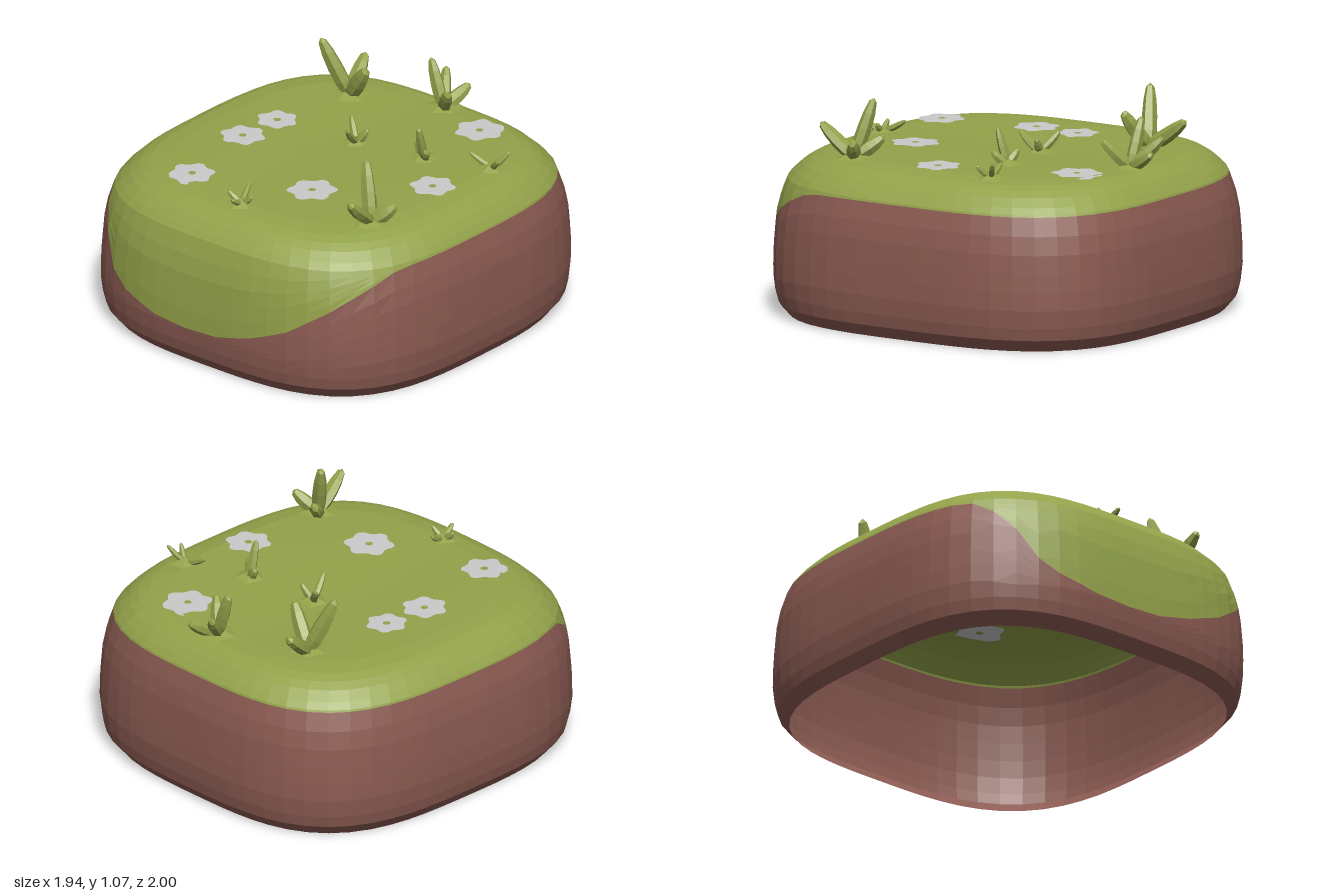
import * as THREE from 'three';

const COLS = 64, POWER = 3.2;
const mat = (name, color, side = THREE.FrontSide) => {
  const m = new THREE.MeshStandardMaterial({ color, side });
  m.name = name;
  return m;
};

// piecewise-linear lookup in a list of [input, output] pairs
function lookup(table, v) {
  if (v <= table[0][0]) return table[0][1];
  for (let i = 1; i < table.length; i++) {
    const [a, p] = table[i - 1], [b, q] = table[i];
    if (v <= b) return p + (q - p) * (v - a) / (b - a);
  }
  return table[table.length - 1][1];
}

// outline scale of the block by height
const SIDE = [[0, 0.93], [0.07, 0.985], [0.2, 1], [0.33, 0.998], [0.5, 0.985], [0.6, 0.962],
  [0.66, 0.94], [0.71, 0.9], [0.75, 0.85], [0.772, 0.79]];
// height where soil meets grass on the front half, by x
const EDGE = [[-0.97, 0.65], [-0.86, 0.65], [-0.75, 0.55], [-0.65, 0.42], [-0.6, 0.33], [-0.5, 0.27],
  [-0.3, 0.215], [-0.1, 0.2], [0.1, 0.21], [0.3, 0.26], [0.5, 0.34], [0.7, 0.47], [0.85, 0.585],
  [0.91, 0.64], [0.97, 0.65]];

// rounded-square outline
function outline(i) {
  const a = (i % COLS) / COLS * Math.PI * 2, c = Math.cos(a), s = Math.sin(a);
  const r = 1 / Math.pow(Math.abs(c) ** POWER + Math.abs(s) ** POWER, 1 / POWER);
  return [0.97 * r * c, r * s];
}
const edgeHeight = (x, z) => (z > 0 ? lookup(EDGE, x) : 0.65);

// gently uneven lawn
function lawnY(x, z) {
  const fade = Math.max(0, 1 - (x * x + z * z) * 0.7);
  return 0.782 + fade * (0.006 - 0.012 * Math.exp(-((x + 0.1) ** 2) * 20) + 0.005 * Math.sin(3 * z + 2 * x));
}

// surface through rows of columns, faceted
function loft(rows, cols, point) {
  const pos = [], index = [];
  for (let j = 0; j < rows; j++) for (let i = 0; i <= cols; i++) pos.push(...point(i, j));
  for (let j = 0; j < rows - 1; j++) for (let i = 0; i < cols; i++) {
    const a = j * (cols + 1) + i, b = a + cols + 1;
    index.push(a, b, a + 1, a + 1, b, b + 1);
  }
  const g = new THREE.BufferGeometry();
  g.setAttribute('position', new THREE.Float32BufferAttribute(pos, 3));
  g.setIndex(index);
  const flat = g.toNonIndexed();
  flat.computeVertexNormals();
  return flat;
}

function sidePoint(i, y) {
  const [x, z] = outline(i), s = lookup(SIDE, y);
  return [x * s, y, z * s];
}

function soilGeometry() {
  return loft(9, COLS, (i, j) => {
    const h = edgeHeight(...outline(i));
    return sidePoint(i, j < 3 ? [0, 0.06, 0.12][j] : 0.12 + (h - 0.12) * (j - 2) / 6);
  });
}

function grassGeometry() {
  const rim = [0.69, 0.73, 0.755, 0.772], caps = [0.7, 0.6, 0.5, 0.4, 0.3, 0.2, 0.1, 0];
  return loft(6 + rim.length + caps.length, COLS, (i, j) => {
    const [x, z] = outline(i), h = edgeHeight(x, z);
    if (j < 6) return sidePoint(i, h + (0.66 - h) * j / 5);
    if (j < 6 + rim.length) return sidePoint(i, rim[j - 6]);
    const s = caps[j - 6 - rim.length];
    return [x * s, lawnY(x * s, z * s), z * s];
  });
}

// thin petal ring draped over the lawn; lift < 0 puts it beneath the shell
function petals(cx, cz, r, inner, lift, turn) {
  return loft(4, 48, (i, j) => {
    const a = i / 48 * Math.PI * 2;
    const out = r * (0.92 + 0.1 * Math.cos(6 * a + turn));
    const d = inner + (out - inner) * j / 3;
    const x = cx + d * Math.cos(a), z = cz + d * Math.sin(a);
    return [x, lawnY(x, z) + lift, z];
  });
}

// blunt tapering leaf from base to tip, bowed outward
function leafGeometry(base, tip, r) {
  const from = new THREE.Vector3(...base), to = new THREE.Vector3(...tip);
  const mid = from.clone().lerp(to, 0.5);
  mid.y -= 0.012;
  const curve = new THREE.QuadraticBezierCurve3(from, mid, to);
  const dir = to.clone().sub(from).normalize();
  const u = new THREE.Vector3(0, 0, 1).cross(dir).normalize(), v = dir.clone().cross(u);
  const widths = [0.75, 1, 1, 0.85, 0.55, 0];
  const stops = [0, 0.25, 0.5, 0.75, 0.94, 1];
  return loft(6, 6, (i, j) => {
    const a = i / 6 * Math.PI * 2, w = r * widths[j];
    return curve.getPoint(stops[j])
      .addScaledVector(u, w * Math.cos(a)).addScaledVector(v, w * 0.8 * Math.sin(a)).toArray();
  });
}

// [base x, base z, leaf radius, leaf tips]
const TUFTS = [
  [-0.38, -0.55, 0.043, [[-0.5, 1.065, -0.48], [-0.23, 0.97, -0.5], [-0.43, 0.92, -0.73]]],
  [0.05, -0.73, 0.036, [[-0.035, 1.01, -0.74], [-0.04, 0.92, -0.86], [0.155, 0.91, -0.64], [0.09, 0.86, -0.88]]],
  [0.61, 0.47, 0.04, [[0.53, 1.065, 0.41], [0.63, 0.94, 0.65], [0.72, 0.88, 0.41], [0.52, 0.88, 0.36]]],
  [0.35, -0.23, 0.026, [[0.36, 0.96, -0.18], [0.29, 0.85, -0.25], [0.41, 0.85, -0.18]]],
  [-0.02, -0.17, 0.022, [[-0.1, 0.87, -0.23], [0.01, 0.88, -0.07], [0.04, 0.85, -0.19]]],
  [0.67, -0.35, 0.016, [[0.55, 0.84, -0.33], [0.74, 0.87, -0.4], [0.74, 0.85, -0.31]]],
  [0.01, 0.71, 0.018, [[-0.03, 0.84, 0.6], [0.07, 0.83, 0.7], [0.02, 0.83, 0.79], [-0.06, 0.83, 0.72]]],
];
// [x, z, radius]
const FLOWERS = [[0.36, -0.63, 0.12], [-0.45, -0.1, 0.1], [-0.46, 0.14, 0.11],
  [0.6, 0, 0.11], [0.19, 0.4, 0.12], [-0.37, 0.62, 0.11]];

export function createModel() {
  const model = new THREE.Group();
  model.name = 'grassBlock';
  const grass = mat('grass green', 0x93a24a, THREE.DoubleSide);
  const soil = mat('soil brown', 0x8b5b52, THREE.DoubleSide);
  const petal = mat('petal grey', 0xcacaca, THREE.DoubleSide);
  const add = (parent, name, geometry, material) => {
    const mesh = new THREE.Mesh(geometry, material);
    mesh.name = name;
    parent.add(mesh);
    return mesh;
  };

  add(model, 'soilWall', soilGeometry(), soil);
  add(model, 'grassCover', grassGeometry(), grass);

  // flowers show on both faces of the thin shell, with a green eye
  FLOWERS.forEach(([x, z, r], k) => {
    const flower = new THREE.Group();
    flower.name = 'flower';
    add(flower, 'petalsTop', petals(x, z, r, 0.018, 0.006, k), petal);
    add(flower, 'petalsUnderside', petals(x, z, r, 0.018, -0.004, k), petal);
    model.add(flower);
  });

  // leaf tufts on low mounds
  for (const [x, z, r, tips] of TUFTS) {
    const tuft = new THREE.Group();
    tuft.name = 'tuft';
    const y = lawnY(x, z);
    for (const tip of tips) add(tuft, 'leaf', leafGeometry([x, y, z], tip, r), grass);
    const mound = new THREE.ConeGeometry(0.05 + r * 1.3, 0.03, 5, 1, true).toNonIndexed();
    mound.computeVertexNormals();
    add(tuft, 'mound', mound, grass).position.set(x, y + 0.012, z);
    model.add(tuft);
  }
  return model;
}
